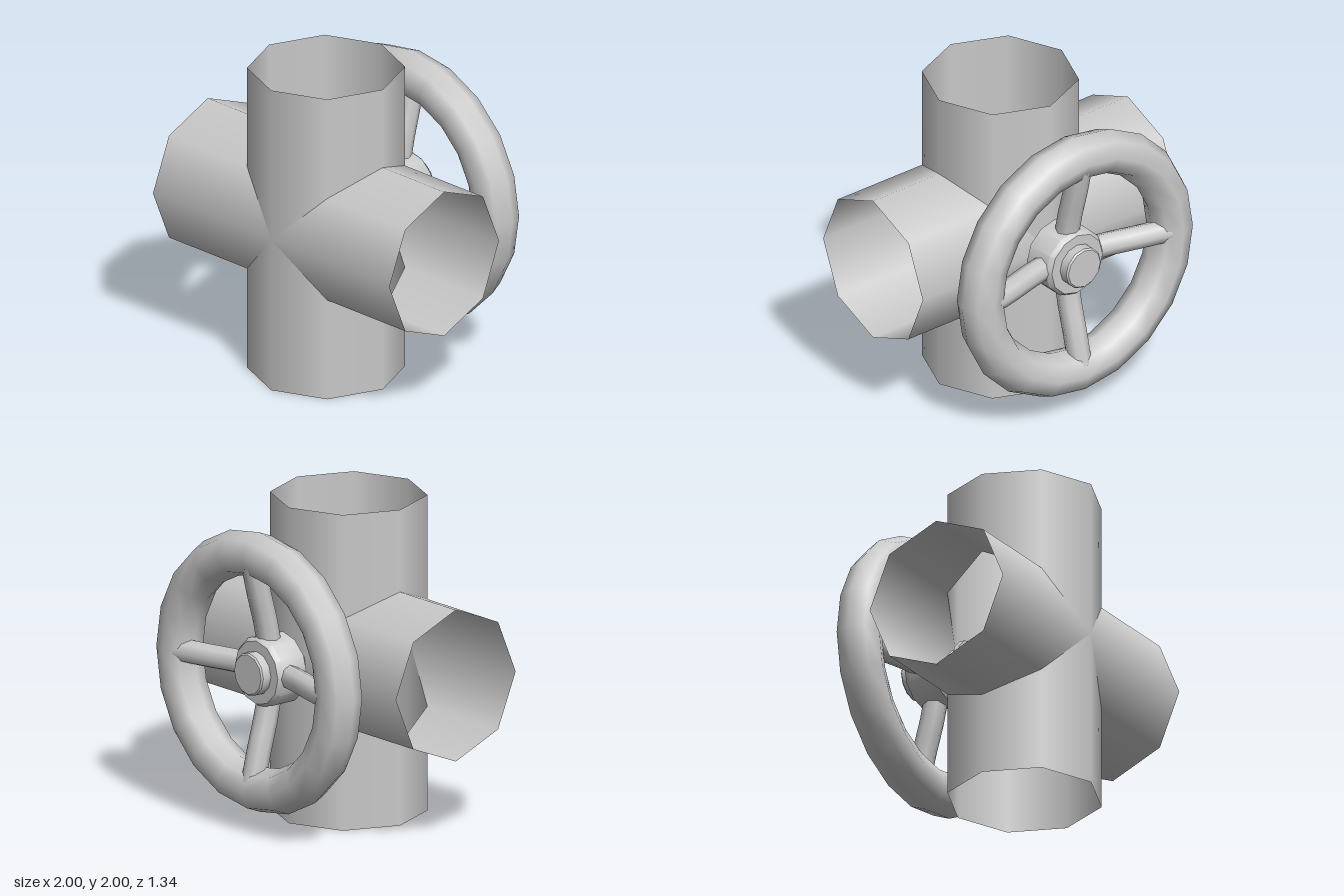
import * as THREE from 'three';
import { toCreasedNormals } from 'three/addons/utils/BufferGeometryUtils.js';

const material = new THREE.MeshStandardMaterial({ color: 0xcccccc });
const openMaterial = new THREE.MeshStandardMaterial({ color: 0xcccccc, side: THREE.DoubleSide });

function addMesh(parent, name, geometry, mat = material) {
  const mesh = new THREE.Mesh(geometry, mat);
  mesh.name = name;
  parent.add(mesh);
  return mesh;
}

// Open octagonal pipe arm along +y, its inner end mitred at 45 degrees
function pipeArmGeometry(radius, length) {
  const g = new THREE.CylinderGeometry(radius, radius, length, 8, 1, true);
  g.translate(0, length / 2, 0);
  const p = g.attributes.position;
  for (let i = 0; i < p.count; i++) {
    if (p.getY(i) < length / 2) p.setY(i, Math.abs(p.getX(i)));
  }
  return g;
}

// Turned part whose axis runs to the back; points are [radius, z]
function turned(points, sides) {
  const g = new THREE.LatheGeometry(points.map(([r, z]) => new THREE.Vector2(r, -z)), sides);
  g.rotateX(-Math.PI / 2);
  return toCreasedNormals(g, 0.7);
}

export function createModel() {
  const model = new THREE.Group();
  model.name = 'pipeCrossWithValve';

  // Four-way pipe cross
  const pipes = new THREE.Group();
  pipes.name = 'pipeCross';
  pipes.position.set(0, 1, 0.19);
  model.add(pipes);
  const arm = pipeArmGeometry(0.48, 1);
  ['topPipe', 'leftPipe', 'bottomPipe', 'rightPipe'].forEach((name, i) => {
    addMesh(pipes, name, arm, openMaterial).rotation.z = -i * Math.PI / 2;
  });

  // Valve on the back
  const valve = new THREE.Group();
  valve.name = 'valve';
  valve.position.y = 1.003;
  model.add(valve);

  // Stem with a narrow neck where it enters the pipe
  addMesh(valve, 'stem', turned([
    [0, -0.195], [0.155, -0.195], [0.155, -0.23], [0.12, -0.25],
    [0.145, -0.275], [0.155, -0.3], [0.155, -0.34],
  ], 12));

  // Hub with its end cap
  addMesh(valve, 'hub', turned([
    [0, -0.325], [0.205, -0.325], [0.222, -0.337], [0.222, -0.52], [0.2, -0.55], [0, -0.55],
  ], 12));
  addMesh(valve, 'hubCap', turned([
    [0.135, -0.54], [0.135, -0.61], [0.125, -0.62], [0, -0.62],
  ], 12));

  // Wheel rim
  const rim = new THREE.TorusGeometry(0.743, 0.142, 8, 20);
  addMesh(valve, 'wheelRim', rim).position.z = -0.527;

  // Four bowed spokes running into the rim
  const path = new THREE.CatmullRomCurve3([
    new THREE.Vector3(0, 0.12, -0.44),
    new THREE.Vector3(0, 0.3, -0.475),
    new THREE.Vector3(0, 0.5, -0.53),
    new THREE.Vector3(0, 0.69, -0.575),
  ]);
  const spoke = new THREE.TubeGeometry(path, 6, 0.075, 8);
  for (let i = 0; i < 4; i++) {
    addMesh(valve, 'spoke', spoke).rotation.z = i * Math.PI / 2;
  }

  return model;
}
